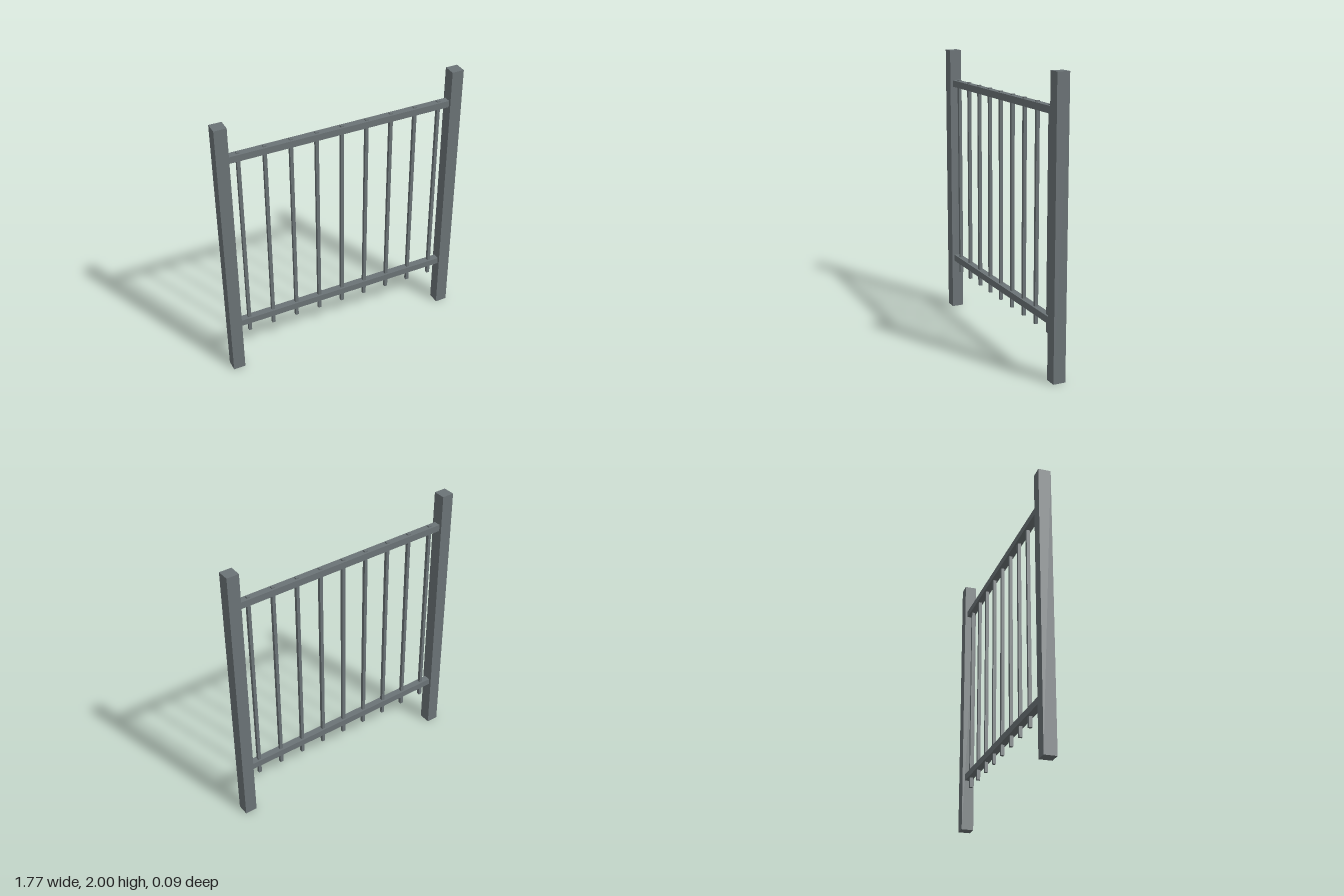
import * as THREE from 'three';

export function createModel() {
  const group = new THREE.Group();
  const metal = new THREE.MeshStandardMaterial({ color: 0x6b7376 });

  // Box spanning bottom..top in height, centred on x and z = 0
  function addBar(name, x, width, bottom, top, depth) {
    const mesh = new THREE.Mesh(new THREE.BoxGeometry(width, top - bottom, depth), metal);
    mesh.name = name;
    mesh.position.set(x, (bottom + top) / 2, 0);
    group.add(mesh);
  }

  // Square end posts
  const postWidth = 0.087;
  const halfWidth = 0.887;
  for (const [name, side] of [['leftPost', 1], ['rightPost', -1]]) {
    addBar(name, side * (halfWidth - postWidth / 2), postWidth, 0, 2, postWidth);
  }

  // Horizontal rails between the posts
  const railLength = 2 * (halfWidth - postWidth);
  addBar('bottomRail', 0, railLength, 0.37, 0.418, 0.05);
  addBar('topRail', 0, railLength, 1.73, 1.778, 0.05);

  // Thin square balusters passing through both rails
  const count = 9;
  const spacing = 0.182;
  for (let i = 0; i < count; i++) {
    addBar(`baluster${i + 1}`, (i - (count - 1) / 2) * spacing, 0.023, 0.296, 1.787, 0.023);
  }

  return group;
}
